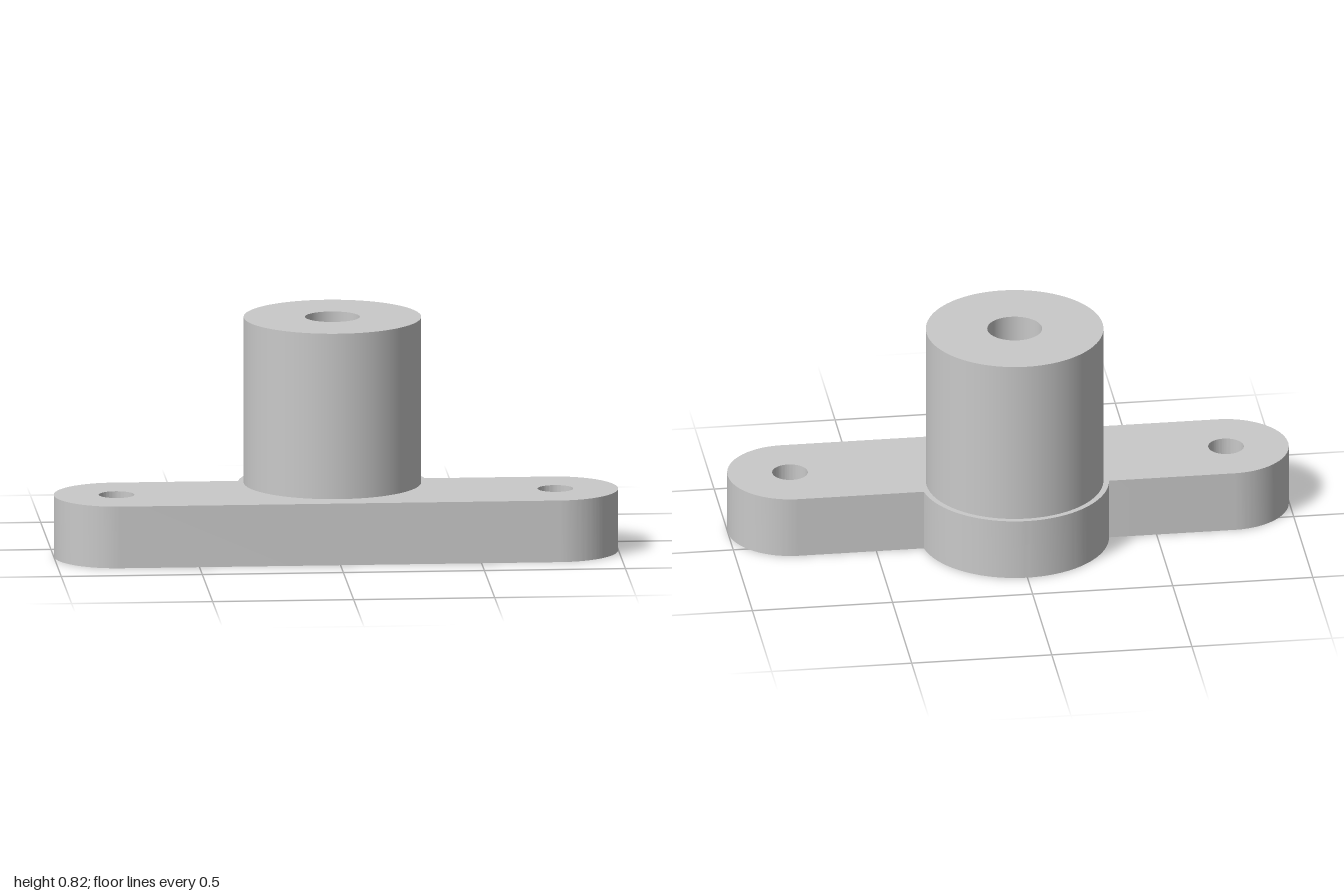
import * as THREE from 'three';
import { mergeGeometries, toCreasedNormals } from 'three/addons/utils/BufferGeometryUtils.js';

const BASE_H = 0.222, TOP = 0.818;
const BOSS_Z = -0.031, BOSS_R = 0.314, COLLAR_R = 0.334, BORE_R = 0.203;
const EAR_X = 0.778, EAR_Z = 0.143, EAR_R = 0.222, BOLT_R = 0.063;

// Revolve each profile segment on its own so the edges between them stay sharp
function sharpLathe(points) {
  const parts = [];
  for (let i = 0; i < points.length - 1; i++) {
    const pair = [points[i], points[i + 1]].map(([r, y]) => new THREE.Vector2(r, y));
    parts.push(new THREE.LatheGeometry(pair, 96));
  }
  return mergeGeometries(parts);
}

// Holes run opposite to the clockwise outline so their walls face inward
function circleHole(x, z, r) {
  const hole = new THREE.Path();
  hole.absarc(x, z, r, 0, Math.PI * 2, false);
  return hole;
}

export function createModel() {
  const group = new THREE.Group();
  group.name = 'flangedMount';
  const grey = new THREE.MeshStandardMaterial({ color: 0xc9c9c9 });
  grey.name = 'grey';

  // Base plate: rounded ears with a round collar bulging at the back (drawn in x, z)
  const H = Math.PI / 2;
  const backZ = EAR_Z - EAR_R;
  const a = Math.asin((BOSS_Z - backZ) / COLLAR_R);
  const outline = new THREE.Shape();
  outline.moveTo(-EAR_X, EAR_Z + EAR_R);
  outline.lineTo(EAR_X, EAR_Z + EAR_R);
  outline.absarc(EAR_X, EAR_Z, EAR_R, H, -H, true);
  outline.absarc(0, BOSS_Z, COLLAR_R, -a, -Math.PI + a, true);
  outline.lineTo(-EAR_X, backZ);
  outline.absarc(-EAR_X, EAR_Z, EAR_R, -H, -3 * H, true);
  outline.holes.push(
    circleHole(0, BOSS_Z, BORE_R),
    circleHole(EAR_X, EAR_Z, BOLT_R),
    circleHole(-EAR_X, EAR_Z, BOLT_R),
  );
  const plate = new THREE.ExtrudeGeometry(outline, { depth: BASE_H, bevelEnabled: false, curveSegments: 48 });
  plate.rotateX(Math.PI / 2).translate(0, BASE_H, 0);
  const base = new THREE.Mesh(toCreasedNormals(plate, 0.5), grey);
  base.name = 'basePlate';
  group.add(base);

  // Boss: outer wall, top face, stepped through hole and wide lower bore
  const boss = new THREE.Mesh(sharpLathe([
    [BOSS_R, BASE_H], [BOSS_R, TOP],
    [0.097, TOP], [0.097, 0.6],
    [BOLT_R, 0.6], [BOLT_R, 0.5],
    [BORE_R, 0.5], [BORE_R, BASE_H],
  ]), grey);
  boss.name = 'boss';
  boss.position.z = BOSS_Z;
  group.add(boss);

  return group;
}
